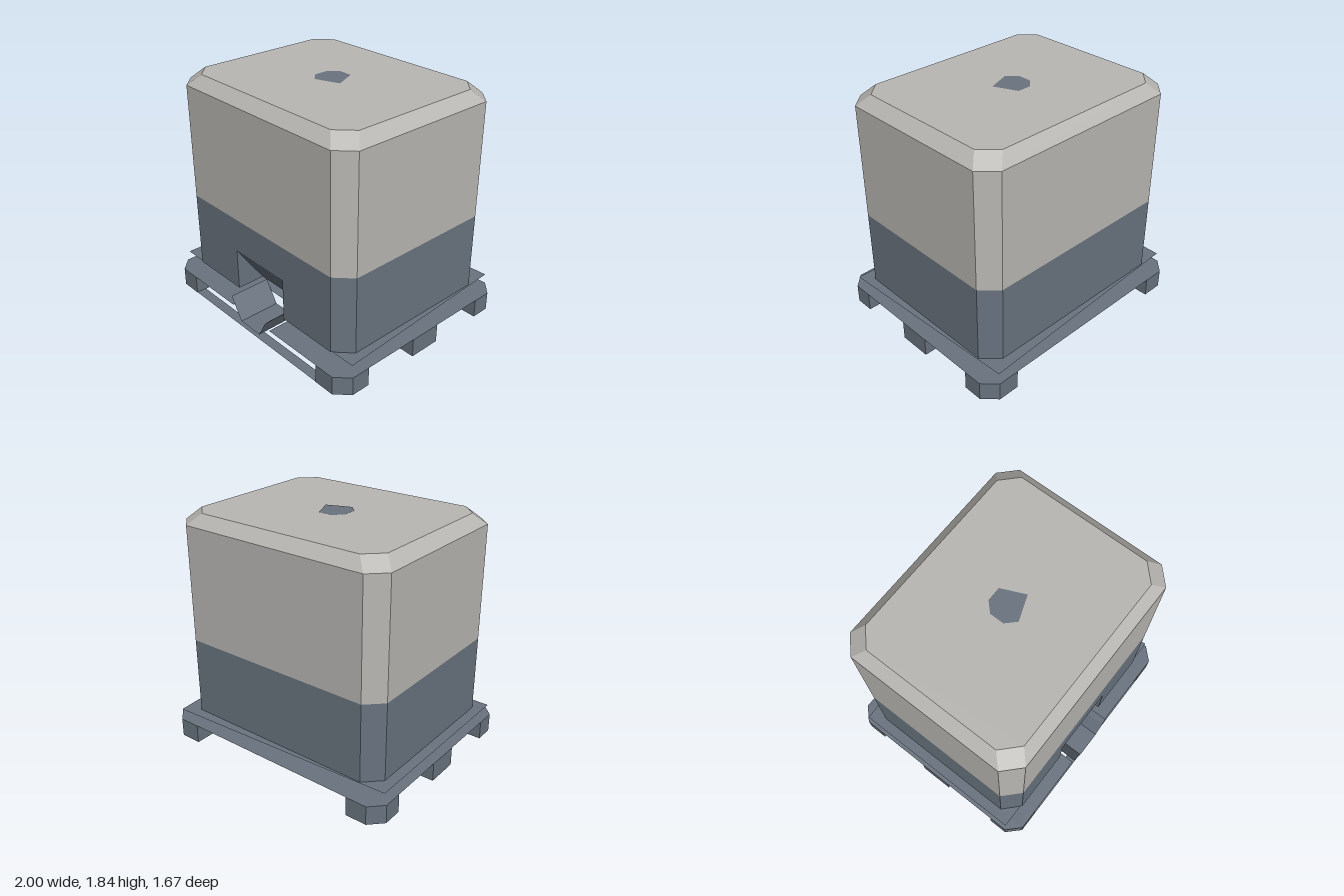
import * as THREE from 'three';

const cream = new THREE.MeshStandardMaterial({ color: 0xb9b7b3, side: THREE.DoubleSide });
cream.name = 'warmGrey';
const slate = new THREE.MeshStandardMaterial({ color: 0x69737f, side: THREE.DoubleSide });
slate.name = 'slateBlue';

// Flat-shaded mesh from convex polygons, corners counter-clockwise from outside
function faces(name, polygons, material) {
  const pos = [];
  for (const p of polygons)
    for (let i = 1; i < p.length - 1; i++) pos.push(...p[0], ...p[i], ...p[i + 1]);
  const g = new THREE.BufferGeometry();
  g.setAttribute('position', new THREE.Float32BufferAttribute(pos, 3));
  g.computeVertexNormals();
  const m = new THREE.Mesh(g, material);
  m.name = name;
  return m;
}

// Octagon ring at height y: half sizes x, z and where each side meets its corner cut
const ring = (x, z, cx, cz, y) => [
  [-cx, y, z], [cx, y, z], [x, y, cz], [x, y, -cz],
  [cx, y, -z], [-cx, y, -z], [-x, y, -cz], [-x, y, cz],
];

const band = (a, b) => a.map((p, i) => {
  const j = (i + 1) % a.length;
  return [p, a[j], b[j], b[i]];
});

// Shape from [x, z] points
const outline = (pts) => new THREE.Shape(pts.map(([x, z]) => new THREE.Vector2(x, -z)));

// Thin horizontal sheet
function sheet(name, pts, y) {
  const g = new THREE.ShapeGeometry(outline(pts));
  g.rotateX(-Math.PI / 2).translate(0, y, 0);
  const m = new THREE.Mesh(g, slate);
  m.name = name;
  return m;
}

export function createModel() {
  const model = new THREE.Group();
  model.name = 'storageTank';

  // Tank body
  const y0 = 0.235, yMid = 0.845, yShoulder = 1.75, yTop = 1.835;
  const wall = (y) => ring(0.9, 0.73, 0.775, 0.61, y);
  const top = ring(0.815, 0.65, 0.69, 0.53, yTop);
  model.add(faces('upperTank', [
    ...band(wall(yMid), wall(yShoulder)),
    ...band(wall(yShoulder), top),
    top,
  ], cream));

  // Lower walls, with the front one divided around the outlet recess
  const w = 0.27, h = 0.57, zf = 0.73, zb = 0.5;
  const front = (x1, x2, ya, yb) => [[x1, ya, zf], [x2, ya, zf], [x2, yb, zf], [x1, yb, zf]];
  model.add(faces('lowerTank', [
    ...band(wall(y0), wall(yMid)).slice(1),
    front(-0.775, -w, y0, yMid),
    front(w, 0.775, y0, yMid),
    front(-w, w, h, yMid),
  ], slate));
  model.add(faces('outletRecess', [
    [[-w, y0, zb], [w, y0, zb], [w, h, zf], [-w, h, zf]],
    [[-w, y0, zf], [-w, y0, zb], [-w, h, zf]],
    [[w, y0, zb], [w, y0, zf], [w, h, zf]],
  ], slate));

  // Filler cap
  model.add(sheet('fillerCap', [
    [-0.13, 0.05], [-0.06, 0.12], [0.13, 0.05], [0.05, -0.13], [-0.06, -0.13], [-0.13, -0.06],
  ], yTop + 0.003));

  // Tray under the tank and pallet deck, both notched for the outlet
  const n = 0.22;
  model.add(sheet('tankTray', [
    [-0.98, 0.72], [-w, 0.72], [-w, zb], [w, zb], [w, 0.72],
    [0.98, 0.72], [0.9, -0.82], [-0.98, -0.73],
  ], y0));
  model.add(sheet('palletDeck', [
    [-0.9, 0.83], [-n, 0.83], [-n, zb], [n, zb], [n, 0.83], [0.9, 0.83],
    [1, 0.73], [1, -0.73], [0.9, -0.83], [-0.9, -0.83], [-1, -0.73], [-1, 0.73],
  ], 0.15));
  model.add(sheet('frontRunner', [
    [-0.75, 0.83], [0.75, 0.83], [0.75, 0.75], [-0.75, 0.75],
  ], 0.003));

  // Outlet channel
  const channel = [[-0.22, y0], [-0.11, 0.06], [0.11, 0.06], [0.18, 0.19], [0.22, y0]];
  model.add(faces('outletChannel', channel.slice(1).map(([x, y], i) => {
    const [px, py] = channel[i];
    return [[px, py, 0.84], [x, y, 0.84], [x, y, zb], [px, py, zb]];
  }), slate));

  // Pallet feet
  const foot = (name, pts) => {
    const g = new THREE.ExtrudeGeometry(outline(pts), { depth: 0.149, bevelEnabled: false });
    g.rotateX(-Math.PI / 2);
    const m = new THREE.Mesh(g, slate);
    m.name = name;
    model.add(m);
  };
  for (const sx of [-1, 1]) {
    for (const sz of [-1, 1]) {
      foot('cornerFoot', [[0.73, 0.58], [0.73, 0.83], [0.9, 0.83], [1, 0.73], [1, 0.58]]
        .map(([x, z]) => [sx * x, sz * z]));
    }
    foot('middleFoot', [[0.73, -0.13], [0.73, 0.13], [1, 0.13], [1, -0.13]]
      .map(([x, z]) => [sx * x, z]));
  }
  return model;
}
